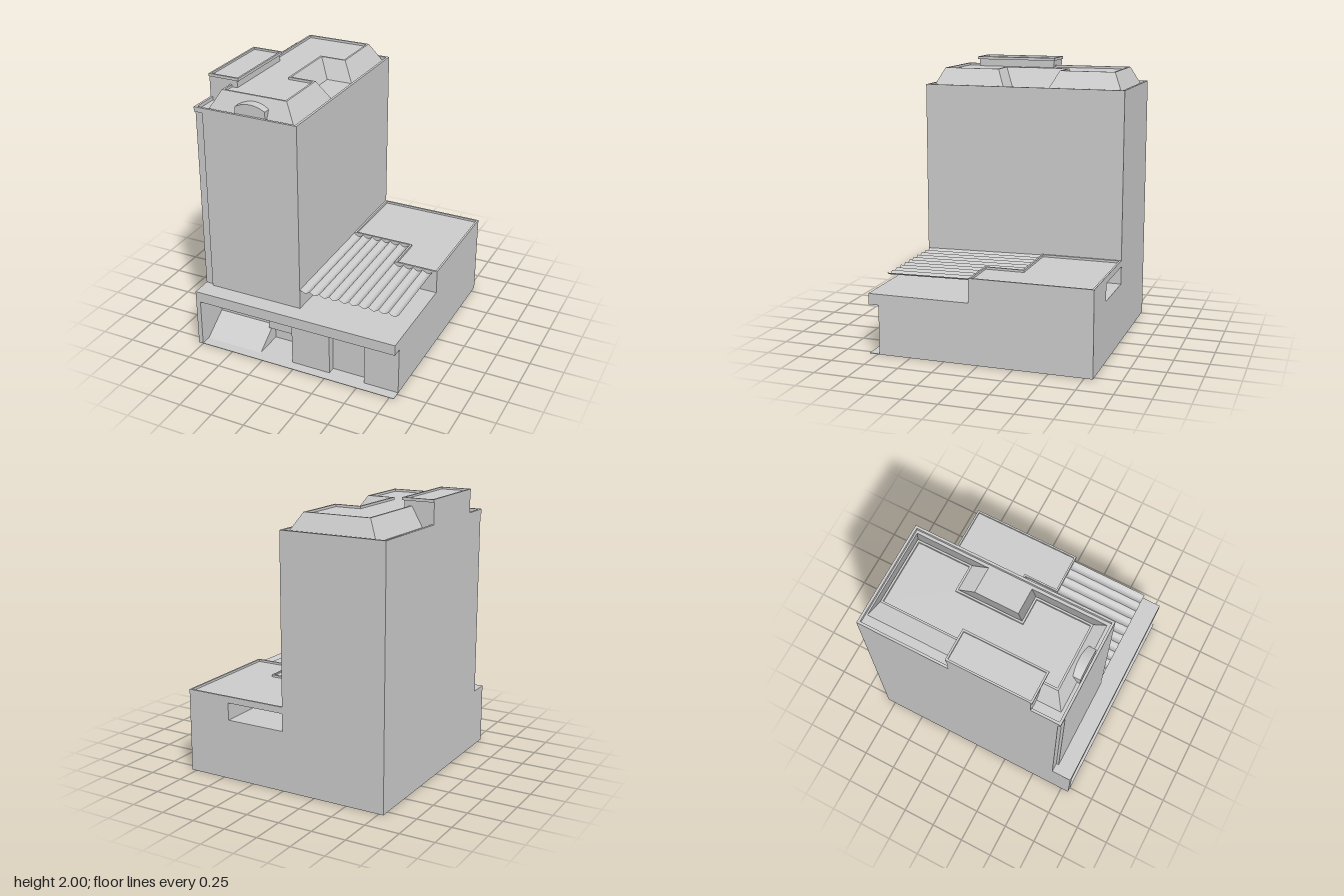
import * as THREE from 'three';

const mat = new THREE.MeshStandardMaterial({ color: 0xcccccc, flatShading: true });
const thin = new THREE.MeshStandardMaterial({ color: 0xcccccc, flatShading: true, side: THREE.DoubleSide });

export function createModel() {
  const model = new THREE.Group();

  const add = (name, geometry, material = mat) => {
    const mesh = new THREE.Mesh(geometry, material);
    mesh.name = name;
    model.add(mesh);
    return mesh;
  };
  // box given by its limits on each axis
  const box = (name, x0, x1, y0, y1, z0, z1) =>
    add(name, new THREE.BoxGeometry(x1 - x0, y1 - y0, z1 - z0)
      .translate((x0 + x1) / 2, (y0 + y1) / 2, (z0 + z1) / 2));
  // plan outline (x, z) raised from y0 to y1, with an optional hole
  const vec = (pts) => pts.map(([x, z]) => new THREE.Vector2(x, z));
  const prism = (name, pts, y0, y1, hole) => {
    const shape = new THREE.Shape(vec(pts));
    if (hole) shape.holes.push(new THREE.Path(vec(hole)));
    const g = new THREE.ExtrudeGeometry(shape, { depth: y1 - y0, bevelEnabled: false });
    return add(name, g.rotateX(Math.PI / 2).translate(0, y1, 0));
  };
  // right-angled plan outline moved inwards by d
  const inset = (pts, d) => pts.map((p, i) => {
    const a = pts[(i + pts.length - 1) % pts.length], b = pts[(i + 1) % pts.length];
    const ux = Math.sign(p[0] - a[0]), uz = Math.sign(p[1] - a[1]);
    const vx = Math.sign(b[0] - p[0]), vz = Math.sign(b[1] - p[1]);
    return [p[0] - d * (uz + vz), p[1] + d * (ux + vx)];
  });
  const ring = (name, pts, y0, y1, d) => prism(name, pts, y0, y1, inset(pts, d));
  const rect = (x0, x1, z0, z1) => [[x0, z0], [x1, z0], [x1, z1], [x0, z1]];

  // podium shell, open underneath
  const T = 0.01;
  box('podiumRightWall', -0.785, -0.785 + T, 0, 0.44, -0.81, 0.81);
  box('podiumLeftWall', 0.785 - T, 0.785, 0, 0.44, -0.81, 0.735);
  box('podiumBackWall', -0.785, 0.785, 0, 0.44, -0.81, -0.81 + T);
  prism('terraceDeck', [[0, -0.81], [0.785, -0.81], [0.785, 0.81], [-0.785, 0.81],
    [-0.785, 0.65], [0, 0.65]], 0.425, 0.44);
  box('frontLintel', -0.785, 0.785, 0.36, 0.44, 0.735, 0.81);
  box('cornerPier', -0.785, -0.75, 0, 0.36, 0.735, 0.81);
  box('frontPavement', -0.785, 0.785, 0, 0.004, 0.735, 0.81);

  // ground floor frontage: panels, recessed door, deep bay with ramp
  box('frontPanel', -0.04, 0.255, 0, 0.43, 0.725, 0.735);
  box('frontPanel', 0.525, 0.785, 0, 0.43, 0.725, 0.735);
  box('bayHeader', -0.785, -0.04, 0.345, 0.43, 0.725, 0.735);
  box('doorHeader', 0.255, 0.525, 0.345, 0.43, 0.725, 0.735);
  box('recessedDoor', 0.255, 0.525, 0, 0.345, 0.665, 0.675);
  for (const x of [0.25, 0.525]) box('doorReveal', x, x + 0.005, 0, 0.345, 0.665, 0.73);
  box('doorSoffit', 0.25, 0.53, 0.345, 0.35, 0.665, 0.73);
  box('doorFloor', 0.255, 0.525, 0, 0.004, 0.67, 0.735);

  box('bayBackWall', -0.75, -0.305, 0.135, 0.345, 0.53, 0.535);
  box('bayRightReveal', -0.755, -0.75, 0, 0.345, 0.53, 0.735);
  box('bayLeftReveal', -0.045, -0.04, 0, 0.345, 0.59, 0.73);
  box('lowerLeftReveal', -0.045, -0.04, 0, 0.135, 0.5, 0.6);
  box('baySoffit', -0.755, -0.04, 0.345, 0.35, 0.53, 0.73);
  box('upperEntryWall', -0.305, -0.04, 0.135, 0.345, 0.585, 0.59);
  box('upperEntryReveal', -0.31, -0.305, 0.135, 0.345, 0.53, 0.59);
  box('lowerEntryWall', -0.305, -0.04, 0, 0.135, 0.5, 0.505);
  box('lowerEntrySoffit', -0.305, -0.04, 0.135, 0.14, 0.5, 0.59);
  box('entryFloor', -0.305, -0.04, 0, 0.004, 0.5, 0.735);

  const quadStrip = (quads) => {
    const g = new THREE.BufferGeometry();
    const p = quads.flatMap(([a, b, c, d]) => [a, b, c, a, c, d].flat());
    g.setAttribute('position', new THREE.Float32BufferAttribute(p, 3));
    g.computeVertexNormals();
    return g;
  };
  add('ramp', quadStrip([
    [[-0.75, 0, 0.735], [-0.305, 0, 0.735], [-0.305, 0.135, 0.535], [-0.75, 0.135, 0.535]],
    [[-0.305, 0, 0.735], [-0.305, 0, 0.5], [-0.305, 0.135, 0.5], [-0.305, 0.135, 0.535]],
  ]), thin);

  // tower shell with a shallow corner notch
  const towerPlan = rect(-0.785, 0, -0.81, 0.68);
  const notched = [[-0.785, -0.81], [0, -0.81], [0, 0.68], [-0.72, 0.68], [-0.72, 0.66], [-0.785, 0.66]];
  ring('towerWalls', notched, 0.44, 1.8, T);
  prism('towerRoofDeck', towerPlan, 1.795, 1.805);
  ring('towerParapet', towerPlan, 1.8, 1.83, 0.018);

  // sloped roof storey with a notch in its left side
  const roofBase = [[-0.7, -0.78], [-0.04, -0.78], [-0.04, -0.235], [-0.235, -0.235],
    [-0.235, 0.09], [-0.04, 0.09], [-0.04, 0.64], [-0.7, 0.64]];
  const roofTop = [[-0.62, -0.71], [-0.125, -0.71], [-0.125, -0.305], [-0.315, -0.305],
    [-0.315, 0.16], [-0.125, 0.16], [-0.125, 0.575], [-0.62, 0.575]];
  const at = ([x, z], y) => [x, y, z];
  add('mansardSlopes', quadStrip(roofBase.map((p, i) => {
    const j = (i + 1) % roofBase.length;
    return [at(p, 1.805), at(roofTop[i], 1.945), at(roofTop[j], 1.945), at(roofBase[j], 1.805)];
  })), thin);
  ring('mansardRim', roofTop, 1.92, 1.945, 0.014);
  prism('mansardDeck', inset(roofTop, 0.005), 1.92, 1.928);

  // arched dormer at the front
  const arch = new THREE.Shape();
  arch.moveTo(-0.115, 1.805);
  arch.lineTo(0.115, 1.805);
  arch.lineTo(0.115, 1.878);
  arch.quadraticCurveTo(0, 1.942, -0.115, 1.878);
  add('archedDormer', new THREE.ExtrudeGeometry(arch, { depth: 0.075, bevelEnabled: false, curveSegments: 12 })
    .translate(-0.36, 0, 0.585));

  // rooftop plant room
  box('plantRoom', -0.785, -0.565, 1.8, 1.985, -0.13, 0.465);
  ring('plantRoomRim', rect(-0.785, -0.55, -0.14, 0.475), 1.98, 2, 0.014);
  box('plantRoomRoof', -0.78, -0.555, 1.98, 1.986, -0.135, 0.47);

  // upper wing with an open passage beside the tower
  const wing = [[0, -0.81], [0.785, -0.81], [0.785, 0.065], [0.455, 0.065], [0.455, -0.215], [0, -0.215]];
  box('wingBody', 0.45, 0.785, 0.44, 0.595, -0.81, 0.065);
  prism('wingRoof', wing, 0.567, 0.598);
  ring('wingParapet', wing, 0.59, 0.614, 0.014);

  // scalloped canopy sloping down to the front
  const W = 0.075, N = 6;
  for (let i = 0; i < 10; i++) {
    const z0 = i < 6 ? -0.21 : 0.065, z1 = 0.675;
    const point = (k, z) => [i * W + (W * k) / N,
      0.592 + (z1 - z) * 0.018 - 0.02 * Math.sin((Math.PI * k) / N), z];
    const quads = [];
    for (let k = 0; k < N; k++) {
      quads.push([point(k, z0), point(k, z1), point(k + 1, z1), point(k + 1, z0)]);
    }
    add('canopySlat', quadStrip(quads), thin);
  }
  return model;
}
